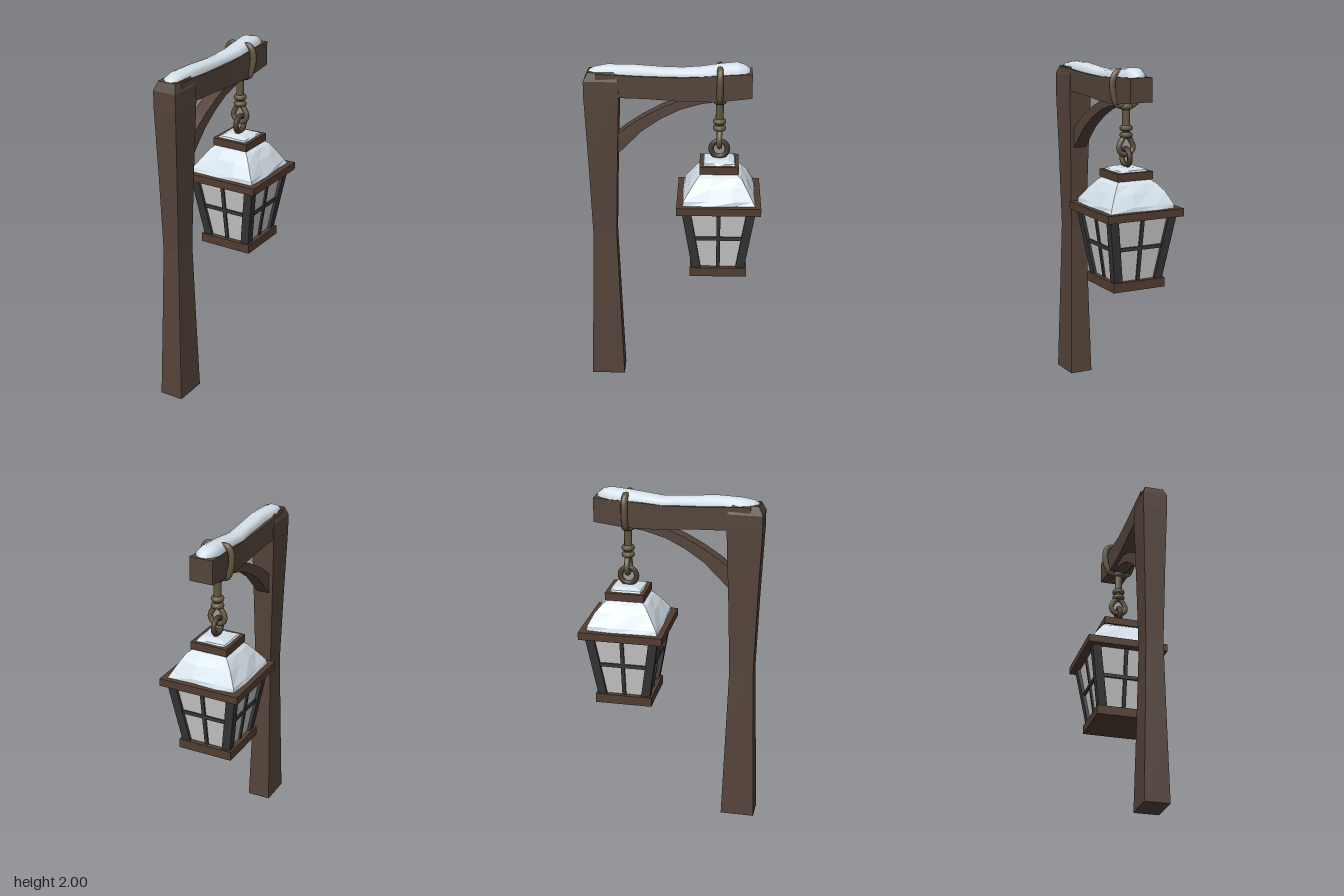
import * as THREE from 'three';

const material = (color, flatShading = true) => new THREE.MeshStandardMaterial({ color, flatShading });
const wood = material(0x54443a);
const trim = material(0x523d31);
const iron = material(0x363636);
const ropeMat = material(0x625640, false);
const ringMat = material(0x4a3b2f, false);
const glassMat = material(0xcccccc);
const snowMat = material(0xd6e1ea, false);
const roofSnowMat = material(0xd6e1ea);

// Skin a list of rings (each counter-clockwise seen from the end) and cap both ends
function loft(rings, smooth = false) {
  const n = rings[0].length, last = (rings.length - 1) * n, index = [];
  for (let r = 0; r < rings.length - 1; r++) {
    for (let i = 0; i < n; i++) {
      const a = r * n + i, b = r * n + (i + 1) % n;
      index.push(a, b, b + n, a, b + n, a + n);
    }
  }
  for (let i = 1; i < n - 1; i++) {
    index.push(0, i + 1, i, last, last + i, last + i + 1);
  }
  const geo = new THREE.BufferGeometry();
  geo.setAttribute('position', new THREE.Float32BufferAttribute(rings.flat(2), 3));
  geo.setIndex(index);
  const out = smooth ? geo : geo.toNonIndexed();
  out.computeVertexNormals();
  return out;
}

// Rectangle in the ground plane, for upright lofts
const flatRect = (x, y, z, w, d) => [[1, 1], [1, -1], [-1, -1], [-1, 1]]
  .map(([sx, sz]) => [x + sx * w / 2, y, z + sz * d / 2]);

// Rectangle facing +z, for lofts along the arm
const endRect = (z, w, y0, y1) => [[-w / 2, y0, z], [w / 2, y0, z], [w / 2, y1, z], [-w / 2, y1, z]];

function add(parent, name, geo, mat) {
  const mesh = new THREE.Mesh(geo, mat);
  mesh.name = name;
  parent.add(mesh);
  return mesh;
}

function slab(parent, name, size, y0, y1, mat) {
  add(parent, name, new THREE.BoxGeometry(size, y1 - y0, size), mat).position.y = (y0 + y1) / 2;
}

function buildFrame(parent) {
  // Waisted post with a chamfered top: y, width, depth
  const post = [[0, 0.143, 0.2], [0.5, 0.12, 0.168], [0.95, 0.102, 0.14], [1.4, 0.122, 0.168],
    [1.8, 0.142, 0.2], [1.9, 0.142, 0.2], [1.95, 0.11, 0.15]];
  add(parent, 'post', loft(post.map(([y, w, d]) => flatRect(0, y, 0.47, w, d))), wood);

  // Slightly sagging arm: z, width, bottom, top
  const arm = [[-0.39, 0.14, 1.81, 1.95], [-0.2, 0.132, 1.785, 1.94], [0, 0.124, 1.785, 1.925],
    [0.2, 0.128, 1.8, 1.93], [0.5, 0.135, 1.81, 1.945]];
  add(parent, 'arm', loft(arm.map(a => endRect(...a))), wood);

  // Curved brace under the arm: z, bottom, top
  const brace = [[-0.2, 1.78, 1.84], [-0.1, 1.765, 1.83], [0.02, 1.73, 1.785],
    [0.13, 1.675, 1.74], [0.24, 1.6, 1.68], [0.33, 1.51, 1.62], [0.42, 1.42, 1.55]];
  add(parent, 'brace', loft(brace.map(([z, b, t]) => endRect(z, 0.08, b, t))), wood);

  // Snow on the arm: z, half width, top
  const drift = [[-0.378, 0.025, 1.965], [-0.35, 0.054, 1.988], [-0.3, 0.064, 2.0], [-0.2, 0.062, 1.99],
    [-0.1, 0.057, 1.977], [0, 0.052, 1.967], [0.1, 0.05, 1.97], [0.3, 0.052, 1.985],
    [0.44, 0.056, 1.982], [0.51, 0.05, 1.97], [0.54, 0.025, 1.955]];
  const sides = 14;
  const rings = drift.map(([z, w, top], k) => Array.from({ length: sides }, (_, i) => {
    const t = i / sides * Math.PI * 2, s = Math.sin(t), c = Math.cos(t);
    const y = s > 0 ? 1.925 + (top - 1.925) * Math.pow(s, 0.7) : 1.925 + 0.015 * s;
    return [Math.sign(c) * w * Math.pow(Math.abs(c), 0.8) + 0.005 * Math.sin(k * 2.1), y, z];
  }));
  add(parent, 'armSnow', loft(rings, true), snowMat);
}

function buildRope(parent) {
  // Loop around the arm
  const half = [[0.06, 1.788], [0.086, 1.86], [0.084, 1.935], [0.06, 1.968]];
  const points = [[0, 1.775], ...half, [0, 1.962], ...half.map(([x, y]) => [-x, y]).reverse()];
  const loop = new THREE.CatmullRomCurve3(points.map(([x, y]) => new THREE.Vector3(x, y, 0)), true);
  add(parent, 'armLoop', new THREE.TubeGeometry(loop, 40, 0.019, 8, true), ropeMat);

  // Hanging strand with bindings
  add(parent, 'strand', new THREE.CylinderGeometry(0.023, 0.023, 0.19, 10), ropeMat).position.y = 1.69;
  for (const y of [1.77, 1.648, 1.608]) {
    const wrap = add(parent, 'binding', new THREE.TorusGeometry(0.022, 0.017, 8, 14), ropeMat);
    wrap.rotation.x = Math.PI / 2;
    wrap.position.y = y;
  }

  // Teardrop rope eye linked through the lantern ring
  const eye = [[0, 1.605], [0.03, 1.575], [0.046, 1.535], [0.03, 1.505], [0, 1.497],
    [-0.03, 1.505], [-0.046, 1.535], [-0.03, 1.575]];
  const eyeCurve = new THREE.CatmullRomCurve3(eye.map(([x, y]) => new THREE.Vector3(x, y, 0)), true);
  add(parent, 'ropeEye', new THREE.TubeGeometry(eyeCurve, 32, 0.016, 8, true), ropeMat);
  const ring = add(parent, 'lanternRing', new THREE.TorusGeometry(0.048, 0.016, 8, 20), ringMat);
  ring.rotation.y = Math.PI / 2;
  ring.position.y = 1.48;
}

// Square snow layer with slightly uneven edges: rows of y, half width
function snowLayer(rows) {
  return loft(rows.map(([y, h], k) => {
    const ring = [];
    const corners = [[1, 1], [1, -1], [-1, -1], [-1, 1]];
    corners.forEach(([x, z], i) => {
      const [nx, nz] = corners[(i + 1) % 4];
      for (const t of [0, 0.35, 0.7]) {
        const r = h * (1 + 0.025 * Math.sin(i * 2.3 + t * 7 + k * 1.7) - (t === 0 ? 0.02 : 0));
        ring.push([r * (x + (nx - x) * t), y, r * (z + (nz - z) * t)]);
      }
    });
    return ring;
  }));
}

function buildLantern(parent) {
  const bottom = 0.78, top = 1.16;
  slab(parent, 'base', 0.335, 0.73, 0.785, trim);
  slab(parent, 'eave', 0.49, 1.155, 1.2, trim);
  slab(parent, 'cap', 0.228, 1.36, 1.405, trim);

  // Tapered glass body
  add(parent, 'glass', loft([flatRect(0, bottom, 0, 0.274, 0.274), flatRect(0, top, 0, 0.39, 0.39)]), glassMat);

  // Corner posts and glazing bars on each side
  for (let i = 0; i < 4; i++) {
    const side = new THREE.Group();
    side.name = 'bodySide';
    side.rotation.y = i * Math.PI / 2;
    add(side, 'cornerPost', loft([flatRect(0.129, bottom, 0.129, 0.052, 0.052),
      flatRect(0.188, top, 0.188, 0.052, 0.052)]), iron);
    add(side, 'uprightBar', loft([flatRect(0, bottom, 0.137, 0.022, 0.02),
      flatRect(0, top, 0.195, 0.022, 0.02)]), iron);
    add(side, 'crossBar', new THREE.BoxGeometry(0.32, 0.022, 0.02), iron).position.set(0, 0.98, 0.168);
    parent.add(side);
  }

  // Snow on the roof and cap
  add(parent, 'roofSnow', snowLayer([[1.195, 0.214], [1.225, 0.205], [1.295, 0.164],
    [1.34, 0.13], [1.362, 0.1]]), roofSnowMat);
  add(parent, 'capSnow', snowLayer([[1.4, 0.095], [1.415, 0.088], [1.428, 0.055]]), roofSnowMat);
}

export function createModel() {
  const model = new THREE.Group();
  model.name = 'lanternPost';

  // The whole post is turned on its stand
  const turned = new THREE.Group();
  turned.name = 'turnedPost';
  turned.rotation.y = -0.378;
  model.add(turned);

  const frame = new THREE.Group();
  frame.name = 'frame';
  frame.position.x = -0.063;
  buildFrame(frame);

  const rope = new THREE.Group();
  rope.name = 'rope';
  rope.position.set(-0.066, 0, -0.207);
  buildRope(rope);

  const lantern = new THREE.Group();
  lantern.name = 'lantern';
  lantern.position.set(-0.068, 0, -0.207);
  buildLantern(lantern);

  turned.add(frame, rope, lantern);
  return model;
}
